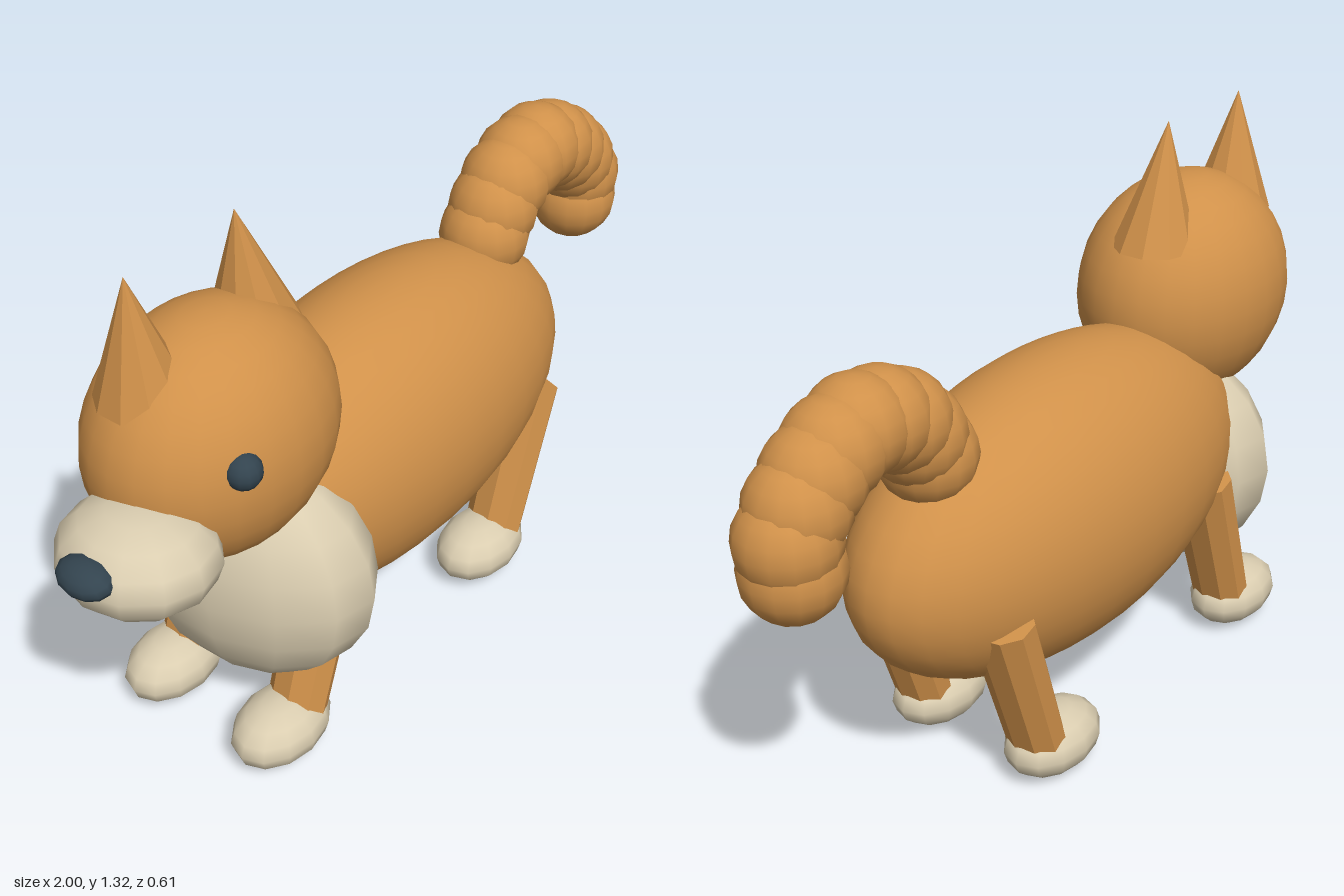
import * as THREE from 'three';

const paint = (name, color) => Object.assign(new THREE.MeshStandardMaterial({ color }), { name });

// Separate the faces so each one keeps its own flat normal
function faceted(geometry) {
  const flat = geometry.toNonIndexed();
  flat.computeVertexNormals();
  return flat;
}

export function createModel() {
  const dog = new THREE.Group();
  dog.name = 'dog';
  const fur = paint('tan fur', 0xd0914a);
  const cream = paint('cream fur', 0xdacdb0);
  const dark = paint('dark slate', 0x33444f);

  function add(name, geometry, material, position) {
    const mesh = new THREE.Mesh(geometry, material);
    mesh.name = name;
    mesh.position.set(...position);
    dog.add(mesh);
    return mesh;
  }

  function ellipsoid(name, material, position, radii, segments = 12, rings = 8) {
    const mesh = add(name, new THREE.SphereGeometry(1, segments, rings), material, position);
    mesh.scale.set(...radii);
    return mesh;
  }

  // Body, chest and head
  ellipsoid('body', fur, [0.05, 0.555, -0.025], [0.64, 0.352, 0.285], 32, 20);
  ellipsoid('chest', cream, [-0.43, 0.46, 0.01], [0.19, 0.29, 0.3], 12, 10).rotation.y = 0.19;
  ellipsoid('head', fur, [-0.52, 0.88, 0], [0.3, 0.28, 0.237], 24, 16);

  // Face
  ellipsoid('muzzle', cream, [-0.812, 0.778, 0.065], [0.165, 0.112, 0.172]).rotation.z = -0.08;
  ellipsoid('nose', dark, [-0.957, 0.82, 0.07], [0.046, 0.034, 0.067]).rotation.z = 0.25;
  ellipsoid('eye', dark, [-0.645, 0.94, 0.197], [0.04, 0.04, 0.04]);

  // Ears: cones whose tips lean away from the centre of their bases
  for (const [name, baseX, tipX] of [['frontEar', -0.677, -0.7], ['rearEar', -0.347, -0.395]]) {
    const height = 0.285;
    const cone = new THREE.ConeGeometry(0.1, height, 10);
    const lean = (tipX - baseX) / height;
    cone.translate(0, height / 2, 0);
    cone.applyMatrix4(new THREE.Matrix4().makeShear(0, 0, lean, 0, 0, 0));
    const points = cone.attributes.position;
    for (let i = 0; i < points.count; i++) {
      points.setX(i, points.getX(i) + (lean === 0 ? 0 : lean * points.getY(i) - shearOffset(cone, i, lean)));
    }
    add(name, faceted(cone), fur, [baseX, 1.035, -0.025]);
  }

  // Slanted legs with cream paws
  const up = new THREE.Vector3(0, 1, 0);
  for (const [end, shift] of [['front', -0.78], ['hind', 0]]) {
    for (const [side, z] of [['Near', 0.143], ['Far', -0.187]]) {
      const bottom = new THREE.Vector3(0.325, 0.09, z);
      const top = new THREE.Vector3(0.453, 0.482, z);
      const axis = top.clone().sub(bottom);
      const middle = top.clone().add(bottom).multiplyScalar(0.5);
      const geometry = faceted(new THREE.CylinderGeometry(0.066, 0.06, axis.length(), 9));
      const leg = add(`${end}${side}Leg`, geometry, fur, [middle.x + shift, middle.y, z]);
      leg.quaternion.setFromUnitVectors(up, axis.normalize());
      leg.scale.z = 1.22;
      ellipsoid(`${end}${side}Paw`, cream, [0.275 + shift, 0.08, z - 0.003], [0.136, 0.077, 0.096]);
    }
  }

  // Curled tail of overlapping balls
  const curl = new THREE.CatmullRomCurve3([
    [0.48, 0.84], [0.55, 0.94], [0.68, 0.985], [0.81, 0.925], [0.885, 0.83], [0.88, 0.76],
  ].map(([x, y]) => new THREE.Vector3(x, y, -0.025)));
  curl.getSpacedPoints(9).forEach((p, i) => {
    ellipsoid(`tailBall${i + 1}`, fur, p.toArray(), [0.11, 0.11, 0.11], 14, 10);
  });

  return dog;
}

// Sideways lean already applied to a point, measured from its height
function shearOffset(geometry, index, lean) {
  return lean * geometry.attributes.position.getY(index);
}
